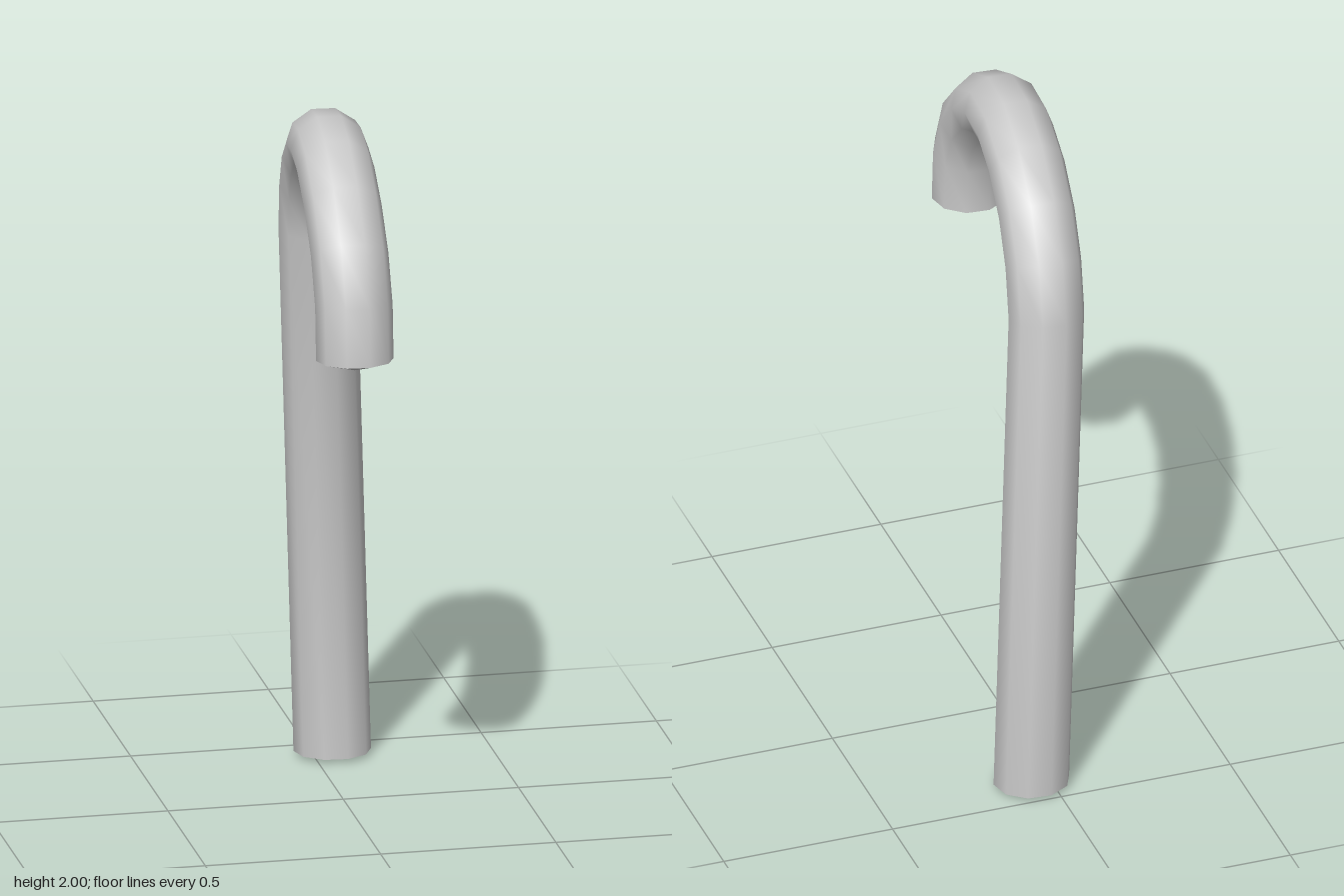
import * as THREE from 'three';
import { toCreasedNormals } from 'three/addons/utils/BufferGeometryUtils.js';

const SIDES = 10;
const RX = 0.109; // half width across the hook plane
const RN = 0.098; // half thickness within the hook plane

// Centre line from the foot, up the shaft and round the hook to the tip
const PATH = [
  [0.055, 0.012, -0.405], [0.015, 1.55, -0.418], [0.007, 1.69, -0.37],
  [-0.004, 1.80, -0.285], [-0.018, 1.88, -0.163], [-0.036, 1.909, -0.015],
  [-0.048, 1.895, 0.125], [-0.055, 1.828, 0.253], [-0.058, 1.72, 0.358],
  [-0.058, 1.585, 0.415], [-0.057, 1.432, 0.422],
].map(p => new THREE.Vector3(...p));

function caneGeometry() {
  const across = new THREE.Vector3(0.996, 0, 0.086).normalize();
  const pos = [], index = [], last = PATH.length - 1;

  // One oval ring per path point, set at the mitre of its two segments
  PATH.forEach((c, i) => {
    const tangent = new THREE.Vector3();
    if (i > 0) tangent.add(c.clone().sub(PATH[i - 1]).normalize());
    if (i < last) tangent.add(PATH[i + 1].clone().sub(c).normalize());
    const normal = tangent.cross(across).normalize();
    const side = across.clone().addScaledVector(normal, -across.dot(normal)).normalize();
    for (let k = 0; k < SIDES; k++) {
      const a = (k / SIDES) * Math.PI * 2;
      const v = c.clone()
        .addScaledVector(side, RX * Math.cos(a))
        .addScaledVector(normal, RN * Math.sin(a));
      pos.push(v.x, Math.max(v.y, 0), v.z);
    }
  });

  // Wall between neighbouring rings
  for (let i = 0; i < last; i++) {
    for (let k = 0; k < SIDES; k++) {
      const n = (k + 1) % SIDES;
      const a = i * SIDES + k, b = i * SIDES + n;
      index.push(a, a + SIDES, b, b, a + SIDES, b + SIDES);
    }
  }

  // Shallow end caps
  const foot = pos.length / 3, tip = foot + 1;
  pos.push(PATH[0].x, 0, PATH[0].z, PATH[last].x, 1.4, PATH[last].z);
  for (let k = 0; k < SIDES; k++) {
    const n = (k + 1) % SIDES;
    index.push(foot, k, n, tip, last * SIDES + n, last * SIDES + k);
  }

  // Make sure the surface faces outwards (signed volume test)
  const p = i => new THREE.Vector3().fromArray(pos, i * 3);
  let volume = 0;
  for (let i = 0; i < index.length; i += 3) {
    volume += p(index[i]).dot(p(index[i + 1]).cross(p(index[i + 2])));
  }
  if (volume < 0) index.reverse();

  const g = new THREE.BufferGeometry();
  g.setAttribute('position', new THREE.Float32BufferAttribute(pos, 3));
  g.setIndex(index);
  return toCreasedNormals(g, 0.95);
}

export function createModel() {
  const group = new THREE.Group();
  group.name = 'hookedCane';
  const cane = new THREE.Mesh(caneGeometry(), new THREE.MeshStandardMaterial({ color: 0xcccccc }));
  cane.name = 'cane';
  group.add(cane);
  return group;
}
